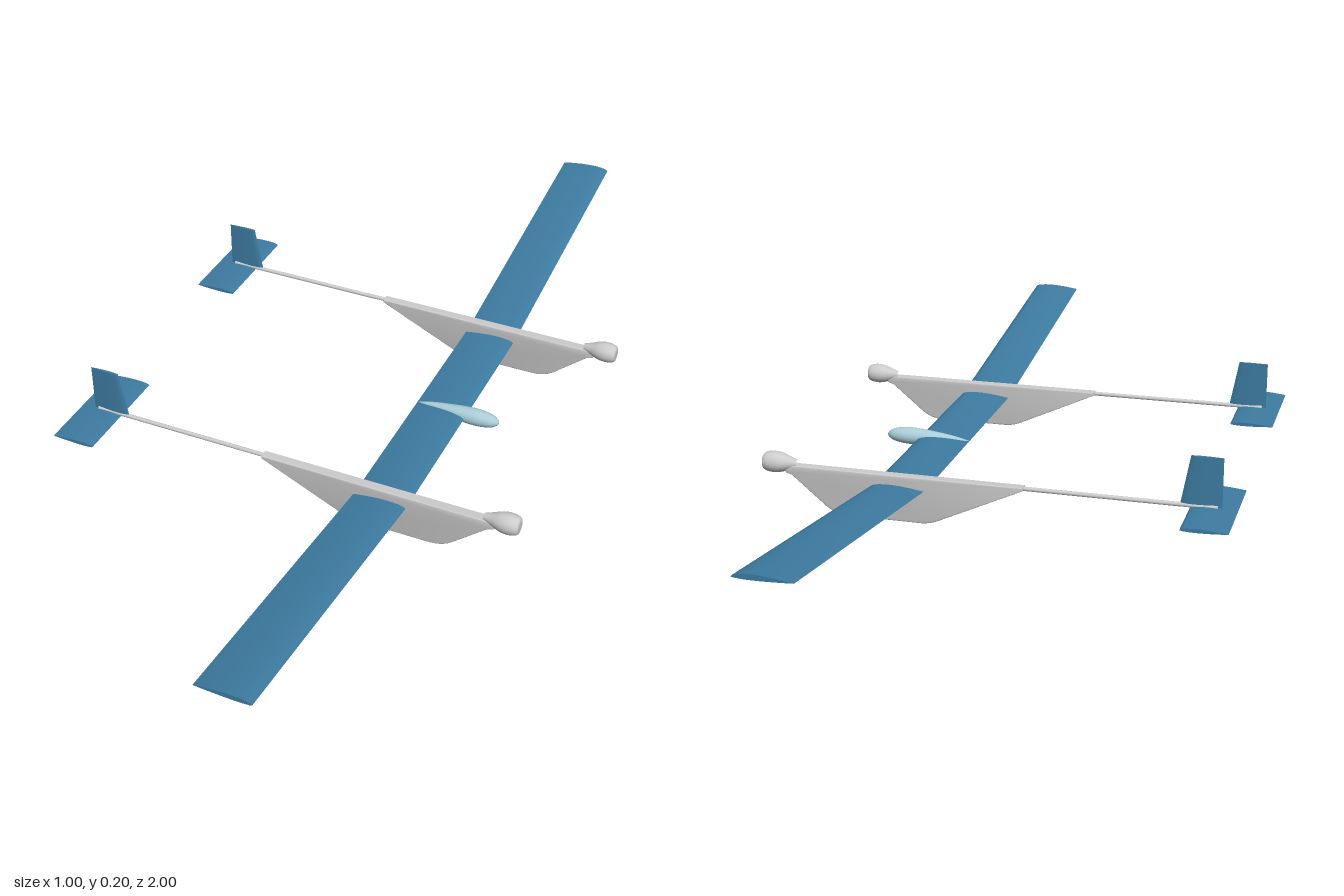
import * as THREE from 'three';
import { toCreasedNormals } from 'three/addons/utils/BufferGeometryUtils.js';

const BOOM_Z = 0.318;

// Airfoil outline, counter-clockwise, leading edge at x = 0 and trailing edge at x = -1
function airfoil(top, bottom, n = 12) {
  const points = [];
  const bulge = (t) => 2.6 * Math.sqrt(t) * (1 - t);
  for (let i = 0; i < n; i++) {
    const t = (1 - Math.cos((Math.PI * i) / n)) / 2;
    points.push([-t, top * bulge(t)]);
  }
  for (let i = n; i > 0; i--) {
    const t = (1 - Math.cos((Math.PI * i) / n)) / 2;
    points.push([-t, -bottom * bulge(t)]);
  }
  return points;
}

// Surface through scaled outlines; each section is { z, lead, chord, y }
function loft(outline, sections) {
  const n = outline.length;
  const positions = [];
  const index = [];
  for (const s of sections) {
    for (const [x, y] of outline) positions.push(s.lead + x * s.chord, s.y + y, s.z);
  }
  for (let s = 0; s < sections.length - 1; s++) {
    for (let i = 0; i < n; i++) {
      const a = s * n + i, b = s * n + ((i + 1) % n);
      index.push(a, b, b + n, a, b + n, a + n);
    }
  }
  const last = (sections.length - 1) * n;
  for (let i = 1; i < n - 1; i++) {
    index.push(0, i + 1, i, last, last + i, last + i + 1);
  }
  const geometry = new THREE.BufferGeometry();
  geometry.setAttribute('position', new THREE.Float32BufferAttribute(positions, 3));
  geometry.setIndex(index);
  return toCreasedNormals(geometry, 0.6);
}

// Turned body lying along x; profile is [x, radius]
function turned(profile, segments = 24) {
  const curve = new THREE.SplineCurve(profile.map(([x, r]) => new THREE.Vector2(r, x)));
  const points = curve.getPoints(28).map((p) => new THREE.Vector2(Math.max(p.x, 0), p.y));
  return new THREE.LatheGeometry(points, segments).rotateZ(-Math.PI / 2);
}

export function createModel() {
  const blue = new THREE.MeshStandardMaterial({ color: 0x3d7ca2 });
  blue.name = 'wing blue';
  const grey = new THREE.MeshStandardMaterial({ color: 0xcccccc });
  grey.name = 'body grey';
  const pale = new THREE.MeshStandardMaterial({ color: 0xabcdd8 });
  pale.name = 'pale blue';

  const model = new THREE.Group();
  model.name = 'twinBoomGlider';
  const add = (parent, name, geometry, material, x = 0, y = 0, z = 0) => {
    const mesh = new THREE.Mesh(geometry, material);
    mesh.name = name;
    mesh.position.set(x, y, z);
    parent.add(mesh);
    return mesh;
  };

  // Main wing: level centre, outer panels raised
  const wingSections = [[-1, 0.163], [-BOOM_Z, 0.07], [BOOM_Z, 0.07], [1, 0.163]]
    .map(([z, y]) => ({ z, y, lead: 0.26, chord: 0.115 }));
  add(model, 'wing', loft(airfoil(0.008, 0.003), wingSections), blue);

  // Small streamlined pod in the middle of the wing
  const podProfile = [[0.145, 0], [0.18, 0.008], [0.23, 0.015], [0.28, 0.019],
    [0.315, 0.015], [0.331, 0.007], [0.335, 0]];
  add(model, 'centrePod', turned(podProfile), pale, 0, 0.072, -0.012);

  // Side outline of the deep, slab-sided body
  const side = new THREE.Shape();
  side.moveTo(-0.065, 0.1);
  side.lineTo(-0.065, 0.093);
  side.lineTo(0.115, 0.009);
  side.quadraticCurveTo(0.135, 0, 0.155, 0);
  side.lineTo(0.31, 0);
  side.quadraticCurveTo(0.338, 0, 0.36, 0.016);
  side.lineTo(0.435, 0.079);
  side.lineTo(0.45, 0.084);
  side.lineTo(0.45, 0.1);
  side.closePath();
  const bevel = 0.003;
  const bodyGeometry = toCreasedNormals(new THREE.ExtrudeGeometry(side, {
    depth: 0.016, bevelEnabled: true, bevelThickness: bevel, bevelSize: bevel,
    bevelOffset: -bevel, bevelSegments: 3, curveSegments: 8,
  }).translate(0, 0, -0.008), 0.6);

  // Bulb with a blunt front
  const noseProfile = [[0.425, 0.008], [0.44, 0.013], [0.458, 0.02], [0.474, 0.0225],
    [0.488, 0.0215], [0.497, 0.018], [0.5, 0.012], [0.5, 0]];
  const noseGeometry = turned(noseProfile);

  const boomGeometry = new THREE.CylinderGeometry(0.0045, 0.0045, 0.41, 16).rotateZ(Math.PI / 2);

  const stabiliserGeometry = loft(airfoil(0.005, 0.003),
    [-0.119, 0.119].map((z) => ({ z, y: 0, lead: -0.405, chord: 0.095 })));

  // Fin tapers upward along its leading edge
  const finGeometry = loft(airfoil(0.003, 0.003), [
    { z: 0.092, y: 0, lead: -0.384, chord: 0.085 },
    { z: 0.2, y: 0, lead: -0.404, chord: 0.065 },
  ]).rotateX(-Math.PI / 2);

  for (const [name, z] of [['left', -BOOM_Z], ['right', BOOM_Z]]) {
    const fuselage = new THREE.Group();
    fuselage.name = name + 'Fuselage';
    fuselage.position.z = z;
    add(fuselage, 'body', bodyGeometry, grey);
    add(fuselage, 'nose', noseGeometry, grey, 0, 0.102, 0);
    add(fuselage, 'boom', boomGeometry, grey, -0.255, 0.0955, 0);
    add(fuselage, 'stabiliser', stabiliserGeometry, blue, 0, 0.091, 0);
    add(fuselage, 'fin', finGeometry, blue);
    model.add(fuselage);
  }
  return model;
}
